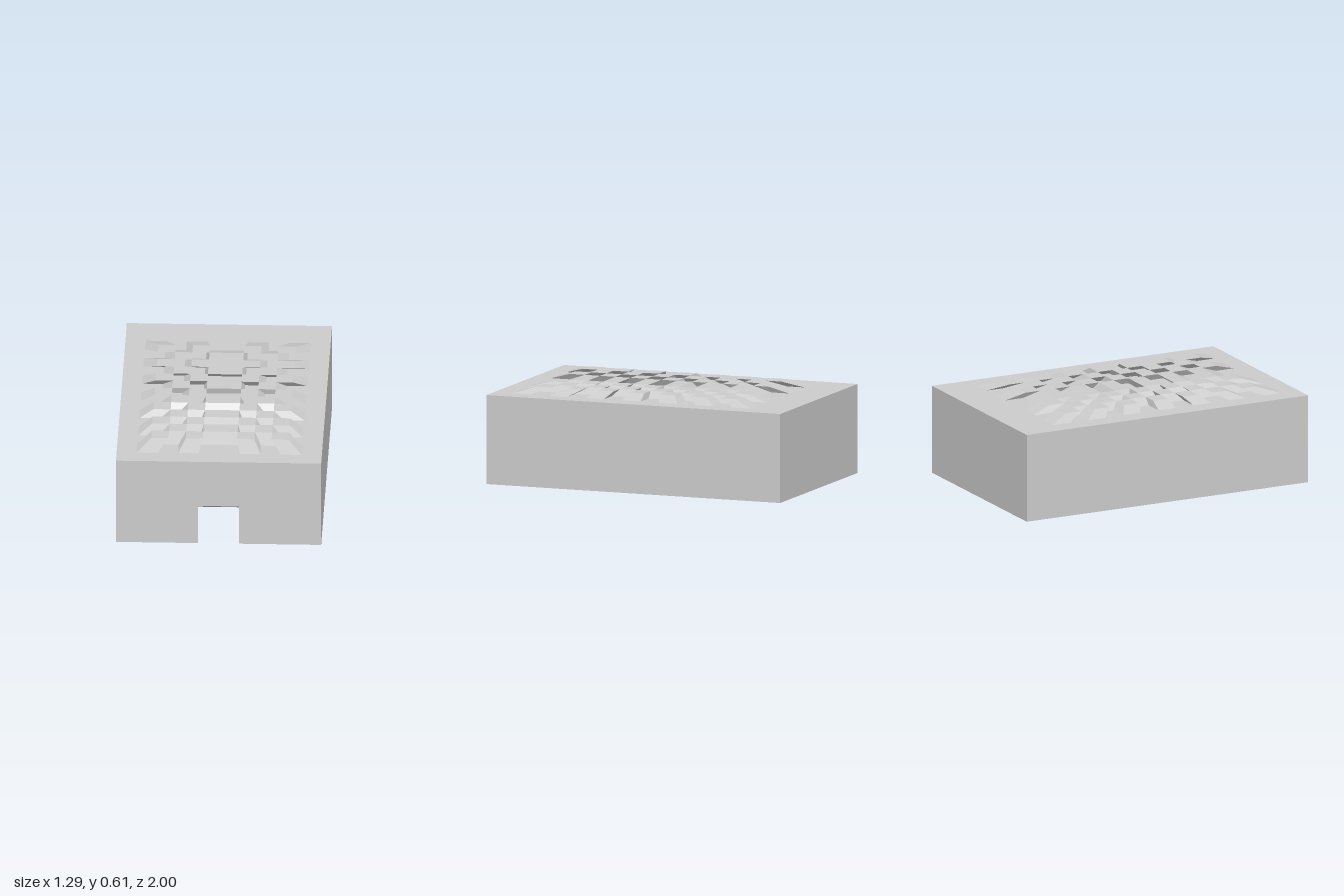
import * as THREE from 'three';

const W = 0.647, H = 0.568, D = 1;            // half width, wall height, half depth
const TOP = 0.607, CZ = 0.064, TAPER = 5 / 6; // pad height, grid centre, pad convergence
const DOOR_W = 0.13, DOOR_H = 0.26;
const COLS = [-0.52, -0.39, -0.26, -0.13, 0.13, 0.26, 0.39, 0.52];
const ROWS = Array.from({ length: 14 }, (_, i) => -0.8125 + i * 0.125); // relative to CZ

const material = new THREE.MeshStandardMaterial({
  color: 0xcccccc, flatShading: true, side: THREE.DoubleSide,
});

// Mesh from a list of quads, corners counter-clockwise seen from outside
function quadMesh(name, quads) {
  const positions = quads.flatMap(([a, b, c, d]) => [a, b, c, a, c, d].flat());
  const geometry = new THREE.BufferGeometry();
  geometry.setAttribute('position', new THREE.Float32BufferAttribute(positions, 3));
  geometry.computeVertexNormals();
  const mesh = new THREE.Mesh(geometry, material);
  mesh.name = name;
  return mesh;
}

// Horizontal rectangle facing up
const flat = (x0, x1, z0, z1, y) => [[x0, y, z1], [x1, y, z1], [x1, y, z0], [x0, y, z0]];

// Raised pad open underneath, its top drawn towards the grid centre
function pad(x0, x1, z0, z1) {
  const base = flat(x0, x1, z0 + CZ, z1 + CZ, H);
  const top = flat(x0 * TAPER, x1 * TAPER, z0 * TAPER + CZ, z1 * TAPER + CZ, TOP);
  const sides = base.map((p, i) => {
    const j = (i + 1) % 4;
    return [p, base[j], top[j], top[i]];
  });
  return [top, ...sides];
}

export function createModel() {
  const group = new THREE.Group();
  group.name = 'building';

  // Front wall with the doorway cut up from the floor
  const outline = [
    [-W, 0], [-DOOR_W, 0], [-DOOR_W, DOOR_H], [DOOR_W, DOOR_H],
    [DOOR_W, 0], [W, 0], [W, H], [-W, H],
  ].map(([x, y]) => new THREE.Vector2(x, y));
  const front = new THREE.Mesh(new THREE.ShapeGeometry(new THREE.Shape(outline)), material);
  front.position.z = D;
  front.name = 'frontWall';
  group.add(front);

  // Narrow sloping lintel inside the doorway
  group.add(quadMesh('doorLintel', [[
    [-DOOR_W, DOOR_H - 0.015, D - 0.02], [DOOR_W, DOOR_H - 0.015, D - 0.02],
    [DOOR_W, DOOR_H, D], [-DOOR_W, DOOR_H, D],
  ]]));

  // Plain walls
  group.add(quadMesh('backWall', [[[W, 0, -D], [-W, 0, -D], [-W, H, -D], [W, H, -D]]]));
  group.add(quadMesh('leftWall', [[[W, 0, D], [W, 0, -D], [W, H, -D], [W, H, D]]]));
  group.add(quadMesh('rightWall', [[[-W, 0, -D], [-W, 0, D], [-W, H, D], [-W, H, -D]]]));

  // Roof border around the grid
  const gx = COLS[7], g0 = ROWS[0] + CZ, g1 = ROWS[13] + CZ;
  const roof = [
    flat(-W, W, -D, g0, H), flat(-W, W, g1, D, H),
    flat(-W, -gx, g0, g1, H), flat(gx, W, g0, g1, H),
  ];

  // Checkerboard of raised pads and flat roof cells
  const pads = [];
  for (let r = 0; r < ROWS.length - 1; r++) {
    for (let c = 0; c < COLS.length - 1; c++) {
      const cell = [COLS[c], COLS[c + 1], ROWS[r], ROWS[r + 1]];
      if ((r + c) % 2 === 0) pads.push(...pad(...cell));
      else roof.push(flat(cell[0], cell[1], cell[2] + CZ, cell[3] + CZ, H));
    }
  }
  group.add(quadMesh('roof', roof), quadMesh('roofPads', pads));

  return group;
}
